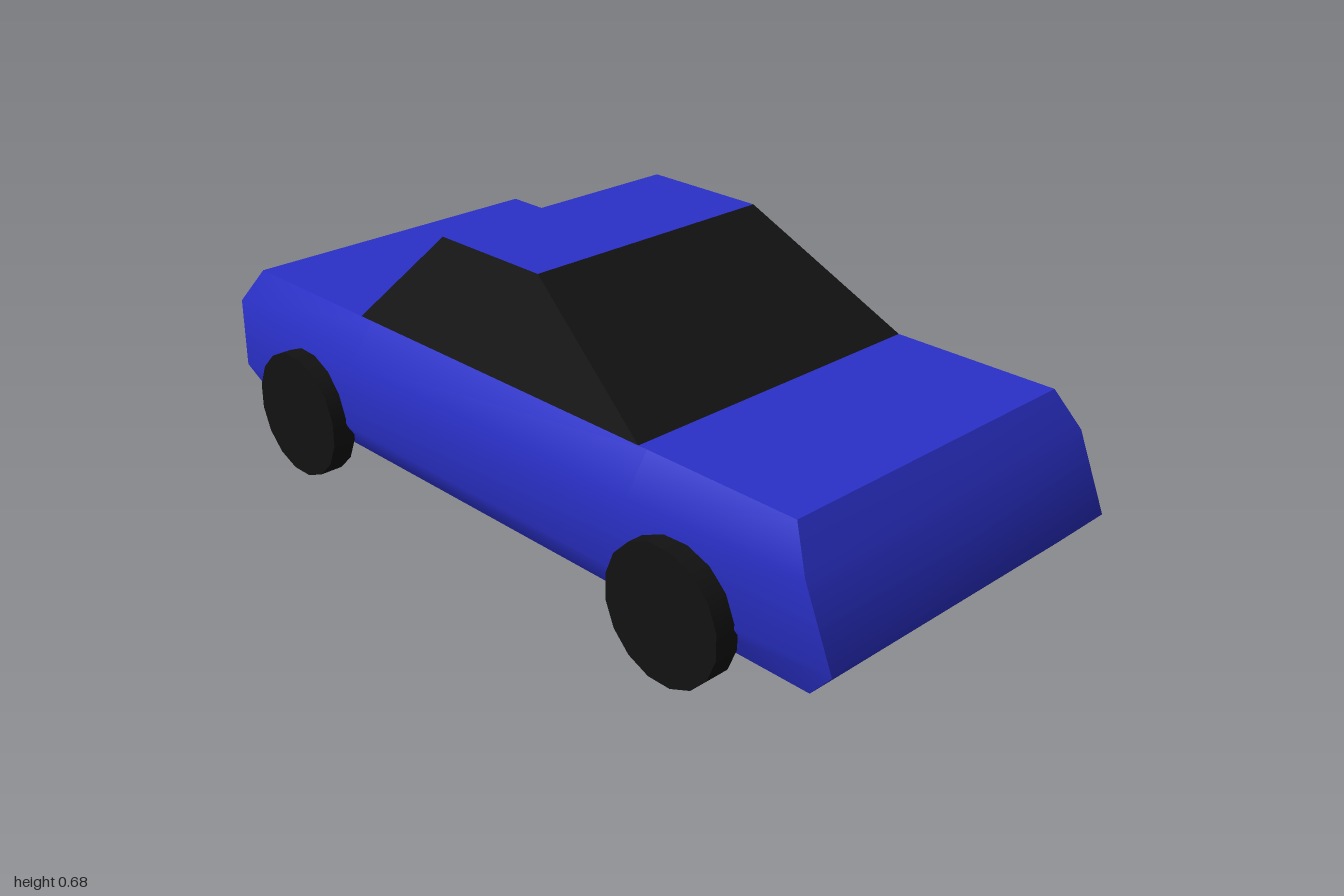
import * as THREE from 'three';

const paint = new THREE.MeshStandardMaterial({ color: 0x2a30c8 });
const dark = new THREE.MeshStandardMaterial({ color: 0x121212 });

// Grid of points, rows running upward and columns left to right as seen from outside
function patch(rows) {
  const cols = rows[0].length;
  const index = [];
  for (let r = 0; r < rows.length - 1; r++) {
    for (let c = 0; c < cols - 1; c++) {
      const a = r * cols + c, b = a + cols;
      index.push(a, a + 1, b + 1, a, b + 1, b);
    }
  }
  const geometry = new THREE.BufferGeometry();
  geometry.setAttribute('position', new THREE.Float32BufferAttribute(rows.flat(2), 3));
  geometry.setIndex(index);
  geometry.computeVertexNormals();
  return geometry;
}

function add(parent, name, geometry, material) {
  const mesh = new THREE.Mesh(geometry, material);
  mesh.name = name;
  parent.add(mesh);
  return mesh;
}

// Corner panels of a shell made of stacked levels { y, back, front, end, mid }:
// each panel is smooth in itself with sharp edges to its neighbours
function shell(levels) {
  const side = ({ y, back, front, end, mid }) =>
    [[back, y, end], [-0.47, y, mid], [0.47, y, mid], [front, y, end]];
  const mirrored = (row) => row.map(([x, y, z]) => [x, y, -z]).reverse();
  const flat = ({ y, back, front, end }) =>
    [[[back, y, end], [front, y, end]], [[back, y, -end], [front, y, -end]]];
  const wide = levels.map((l) => ('mid' in l ? side(l) : [[l.back, l.y, l.end], [l.front, l.y, l.end]]));
  return {
    leftSide: patch(wide),
    rightSide: patch(wide.map(mirrored)),
    frontEnd: patch(levels.map((l) => [[l.front, l.y, l.end], [l.front, l.y, -l.end]])),
    rearEnd: patch(levels.map((l) => [[l.back, l.y, -l.end], [l.back, l.y, l.end]])),
    top: patch(flat(levels[levels.length - 1])),
    bottom: patch(flat(levels[0]).reverse()),
  };
}

export function createModel() {
  const car = new THREE.Group();
  car.name = 'car';

  // Lower body
  const body = new THREE.Group();
  body.name = 'body';
  car.add(body);
  const bodyPanels = shell([
    { y: 0.085, back: -0.94, front: 0.92, end: 0.42, mid: 0.42 },
    { y: 0.175, back: -1, front: 1, end: 0.455, mid: 0.48 },
    { y: 0.355, back: -1, front: 0.925, end: 0.455, mid: 0.48 },
    { y: 0.445, back: -0.94, front: 0.87, end: 0.42, mid: 0.42 },
  ]);
  for (const [name, geometry] of Object.entries(bodyPanels)) add(body, name, geometry, paint);

  // Cabin: dark windows under a painted roof
  const cabin = new THREE.Group();
  cabin.name = 'cabin';
  car.add(cabin);
  const glass = shell([
    { y: 0.445, back: -0.51, front: 0.445, end: 0.42 },
    { y: 0.685, back: -0.28, front: 0.05, end: 0.34 },
  ]);
  add(cabin, 'leftWindow', glass.leftSide, dark);
  add(cabin, 'rightWindow', glass.rightSide, dark);
  add(cabin, 'windscreen', glass.frontEnd, dark);
  add(cabin, 'rearWindow', glass.rearEnd, dark);
  add(cabin, 'roof', glass.top, paint);

  // Wheels
  const wheel = new THREE.CylinderGeometry(0.16, 0.16, 0.06, 16, 1, false, Math.PI / 16);
  wheel.rotateX(Math.PI / 2);
  for (const [axle, x] of [['rear', -0.68], ['front', 0.605]]) {
    for (const [label, s] of [['Left', 1], ['Right', -1]]) {
      add(car, `${axle}${label}Wheel`, wheel, dark).position.set(x, 0.157, s * 0.486);
    }
  }
  return car;
}
